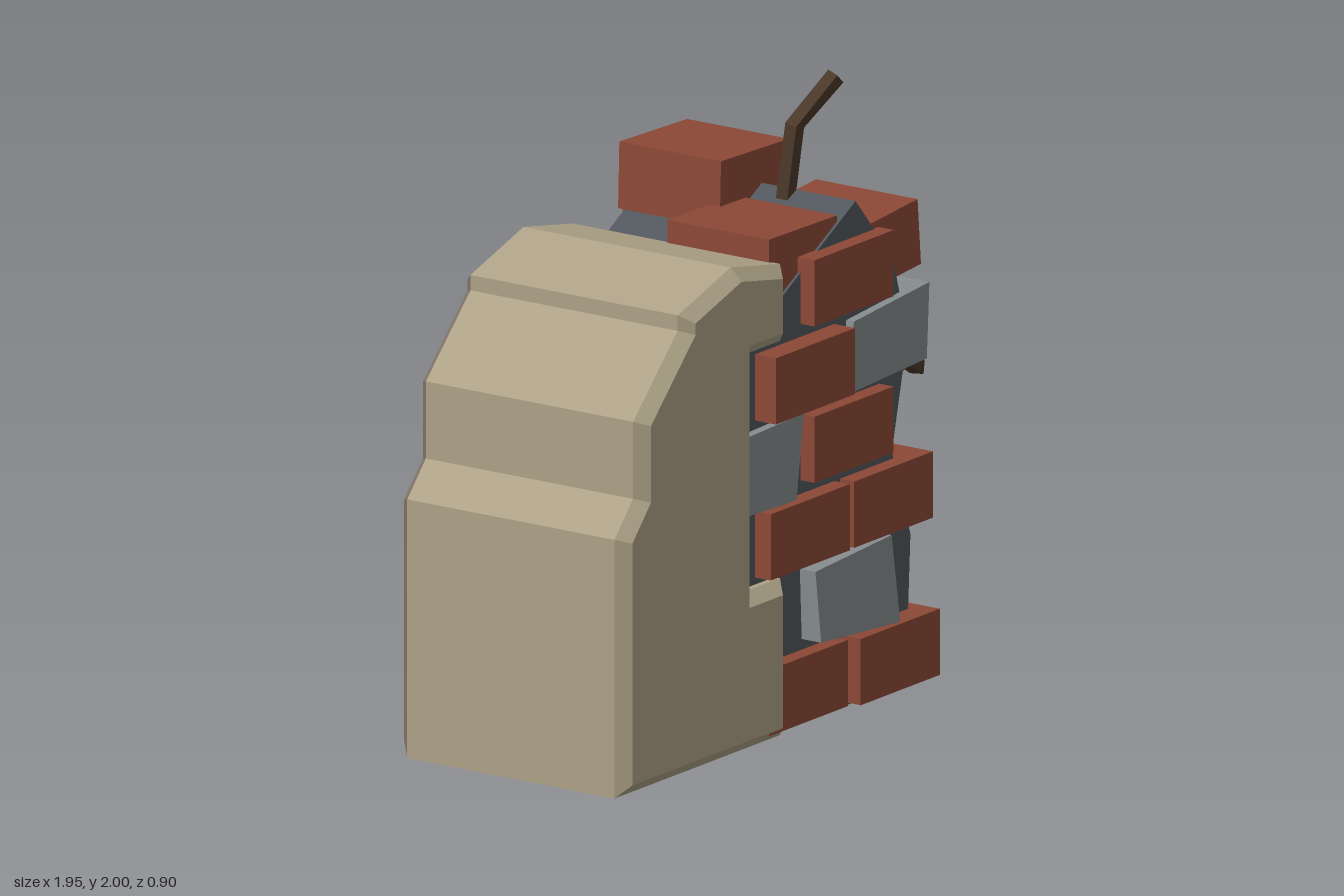
import * as THREE from 'three';

const mat = (name, color) => {
  const m = new THREE.MeshStandardMaterial({ color });
  m.name = name;
  return m;
};

export function createModel() {
  const group = new THREE.Group();
  const plaster = mat('plaster', 0xada287);
  const backing = mat('backPlaster', 0x85776c);
  const mortar = mat('mortar', 0x50565b);
  const brickRed = mat('brickRed', 0x8c4836);
  const stoneGrey = mat('stoneGrey', 0x858b8d);
  const rust = mat('rust', 0x4a3829);

  const add = (name, geometry, material) => {
    const mesh = new THREE.Mesh(geometry, material);
    mesh.name = name;
    group.add(mesh);
    return mesh;
  };

  // Gives the triangles chosen by the test the second material
  const splitFaces = (geo, test) => {
    const p = geo.attributes.position;
    geo.clearGroups();
    for (let i = 0; i < p.count; i += 3) {
      const y = (p.getY(i) + p.getY(i + 1) + p.getY(i + 2)) / 3;
      const z = (p.getZ(i) + p.getZ(i + 1) + p.getZ(i + 2)) / 3;
      const index = test(y, z) ? 1 : 0;
      const last = geo.groups[geo.groups.length - 1];
      if (last && last.materialIndex === index) last.count += 3;
      else geo.addGroup(i, 3, index);
    }
    return geo;
  };

  const outline = (pts) => new THREE.Shape(pts.map(([x, y]) => new THREE.Vector2(x, y)));

  // Solid swept through rings of four points, counter-clockwise seen from the last ring
  const loft = (rings) => {
    const v = [];
    const quad = (a, b, c, d) => [a, b, c, a, c, d].forEach((p) => v.push(p.x, p.y, p.z));
    for (let r = 0; r < rings.length - 1; r++) {
      for (let i = 0; i < 4; i++) {
        const j = (i + 1) % 4;
        quad(rings[r][i], rings[r][j], rings[r + 1][j], rings[r + 1][i]);
      }
    }
    const [a, b, c, d] = rings[0];
    quad(d, c, b, a);
    quad(...rings[rings.length - 1]);
    const geo = new THREE.BufferGeometry();
    geo.setAttribute('position', new THREE.Float32BufferAttribute(v, 3));
    geo.computeVertexNormals();
    return geo;
  };

  // Bevelled plaster shell with a notch on its broken edge
  const shell = new THREE.ExtrudeGeometry(outline([
    [-0.975, 0], [-0.085, 0], [-0.085, 0.51], [-0.265, 0.51], [-0.265, 1.28], [-0.085, 1.28],
    [-0.085, 1.53], [-0.35, 1.58], [-0.635, 1.49], [-0.635, 1.44], [-0.875, 1.2], [-0.875, 0.95],
    [-0.975, 0.84],
  ]), {
    depth: 0.795, bevelEnabled: true, bevelThickness: 0.04, bevelSize: 0.04, bevelOffset: -0.04, bevelSegments: 1,
  });
  shell.translate(0, 0, -0.405);
  add('plasterShell', splitFaces(shell, (y, z) => z < -0.406), [plaster, backing]);

  // Ragged mortar core
  const core = new THREE.ExtrudeGeometry(outline([
    [-0.85, 0.004], [0.62, 0.004], [0.645, 0.48], [0.545, 0.77], [0.63, 1.13], [0.55, 1.4],
    [0.35, 1.63], [-0.1, 1.38], [-0.5, 1.25], [-0.85, 0.7],
  ]), { depth: 0.75, bevelEnabled: false });
  core.translate(0, 0, -0.38);
  add('mortarCore', splitFaces(core, (y, z) => z < -0.379 || y < 0.01), [mortar, backing]);

  // Bricks: centre x, y, z, width, tilt
  const bricks = [
    [0.022, 0.133, 0.228, 0.425, 0],
    [0.478, 0.133, 0.255, 0.425, 0],
    [0.022, 0.64, 0.235, 0.425, 0],
    [0.478, 0.64, 0.23, 0.425, 0],
    [0.265, 0.9, 0.23, 0.425, 0],
    [0.447, 0.9, -0.252, 0.425, 0],
    [0.022, 1.15, 0.255, 0.425, 0],
    [0.265, 1.408, 0.23, 0.425, 0],
    [0.447, 1.408, -0.247, 0.425, 0],
    [0.08, 1.497, 0.165, 0.365, -0.015],
    [0.31, 1.637, -0.185, 0.365, -0.03],
    [0.565, 1.438, 0.17, 0.27, 0.085],
  ];
  for (const [x, y, z, width, tilt] of bricks) {
    const brick = add('brick', new THREE.BoxGeometry(width, 0.215, 0.39), brickRed);
    brick.position.set(x, y, z);
    brick.rotation.z = tilt;
  }

  // Rough stones: four corners counter-clockwise, back z, front z at the bottom and top
  const stones = [
    [[[0.06, 0.275], [0.485, 0.245], [0.46, 0.53], [0.05, 0.505]], 0.1, 0.445, 0.43],
    [[[-0.3, 0.755], [-0.01, 0.745], [0.03, 1.02], [-0.3, 1.01]], 0.1, 0.4, 0.4],
    [[[0.265, 1.02], [0.705, 1.04], [0.705, 1.29], [0.3, 1.255]], 0.042, 0.39, 0.4],
    [[[0.25, 0.26], [0.66, 0.26], [0.66, 0.51], [0.32, 0.51]], -0.4, -0.07, -0.07],
  ];
  for (const [corners, back, low, high] of stones) {
    const ring = (bottom, top) => corners.map(([x, y], i) => new THREE.Vector3(x, y, i < 2 ? bottom : top));
    add('stone', loft([ring(back, back), ring(low, high)]), stoneGrey);
  }

  // Bent square rods
  const rods = [
    [[0.31, 1.4, 0.1], [0.345, 1.84, 0.14], [0.475, 1.98, 0.205]],
    [[0.4, 0.93, 0.23], [0.78, 1.0, 0.25], [0.955, 0.92, 0.175]],
    [[0.4, 0.36, -0.18], [0.77, 0.34, -0.215], [0.91, 0.405, -0.31]],
  ];
  for (const rod of rods) {
    const path = rod.map((p) => new THREE.Vector3(...p));
    const upright = path[2].y > 1.5;
    const rings = path.map((p, i) => {
      const t = path[Math.min(i + 1, 2)].clone().sub(path[Math.max(i - 1, 0)]).normalize();
      const side = new THREE.Vector3(0, upright ? 0 : 1, upright ? 1 : 0).cross(t).normalize();
      const up = t.clone().cross(side);
      const r = 0.022;
      return [[-r, -r], [r, -r], [r, r], [-r, r]].map(([a, b]) =>
        p.clone().addScaledVector(side, a).addScaledVector(up, b));
    });
    add('rebar', loft(rings), rust);
  }

  return group;
}
